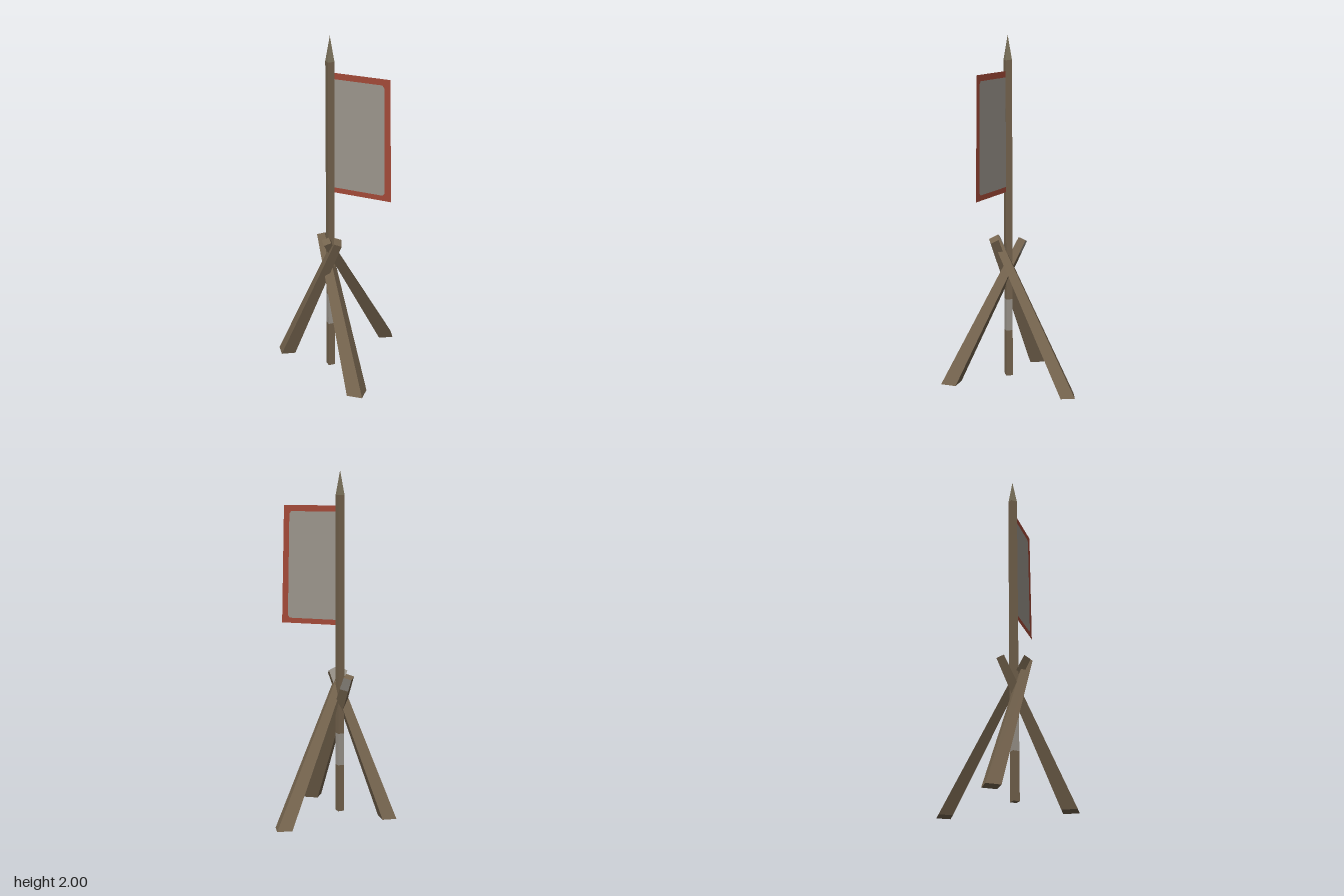
import * as THREE from 'three';

const flat = (name, color, side = THREE.FrontSide) => {
  const m = new THREE.MeshStandardMaterial({ color, side, flatShading: true });
  m.name = name;
  return m;
};

const POLE_X = -0.003, POLE_Z = 0.11;

// Tapered square beam: flat-cut foot on the ground, head cut across the axis.
// paleSide is the side whose last stretch below the head is bare grey.
function beamGeometry(foot, head, taper, tilt, paleSide) {
  const base = foot.map(([x, z]) => new THREE.Vector3(x, 0, z));
  const centre = base.reduce((s, p) => s.add(p), new THREE.Vector3()).multiplyScalar(0.25);
  const top = new THREE.Vector3(...head);
  const dir = top.clone().sub(centre).normalize();
  const end = base.map((p) => {
    const o = p.clone().sub(centre).multiplyScalar(taper);
    return o.addScaledVector(dir, -tilt * o.dot(dir)).add(top);
  });
  const mid = base.map((p, i) => p.clone().lerp(end[i], 0.91));
  const brown = [], grey = [];
  const quad = (list, a, b, c, d) => {
    for (const p of [a, b, c, a, c, d]) list.push(p.x, p.y, p.z);
  };
  for (let i = 0; i < 4; i++) {
    const j = (i + 1) % 4;
    quad(brown, base[i], mid[i], mid[j], base[j]);
    quad(i === paleSide ? grey : brown, mid[i], end[i], end[j], mid[j]);
  }
  quad(brown, end[0], end[3], end[2], end[1]);
  quad(brown, base[0], base[1], base[2], base[3]);
  const geo = new THREE.BufferGeometry();
  geo.setAttribute('position', new THREE.Float32BufferAttribute([...brown, ...grey], 3));
  geo.addGroup(0, brown.length / 3, 0);
  geo.addGroup(brown.length / 3, grey.length / 3, 1);
  geo.computeVertexNormals();
  return geo;
}

export function createModel() {
  const wood = flat('brown wood', 0x75644e);
  const tipMat = flat('pale wood', 0x7d735c);
  const pale = flat('grey', 0x9b958c);
  const cloth = flat('grey cloth', 0x9b958c, THREE.DoubleSide);
  const trim = flat('red trim', 0xa34a38, THREE.DoubleSide);

  const model = new THREE.Group();
  model.name = 'flagStand';
  const add = (name, geo, mat) => {
    const mesh = new THREE.Mesh(geo, mat);
    mesh.name = name;
    model.add(mesh);
    return mesh;
  };

  // Four-sided pole in stacked sections, with a pale band and a pointed tip
  const section = (name, y0, y1, rTop, mat, open) => {
    const geo = new THREE.CylinderGeometry(rTop, 0.027, y1 - y0, 4, 1, open);
    add(name, geo, mat).position.set(POLE_X, (y0 + y1) / 2, POLE_Z);
  };
  section('lowerPole', 0, 0.28, 0.027, wood, false);
  section('poleBand', 0.28, 0.47, 0.027, pale, true);
  section('upperPole', 0.47, 1.86, 0.027, wood, false);
  section('poleTip', 1.86, 2, 0, tipMat, true);

  // Three crossed legs; foot corners are [x, z], clockwise when seen from below
  const legs = [
    ['leftLeaningLeg', [[-0.3, 0.015], [-0.37, 0.06], [-0.32, 0.13], [-0.25, 0.085]], [0.068, 0.835, 0.168], 0.6, 1.5, 0],
    ['backLeg', [[0.185, -0.4], [0.11, -0.36], [0.15, -0.29], [0.225, -0.33]], [0.007, 0.835, 0.187], 0.58, 1.2, 0],
    ['frontLeg', [[0.305, 0.3], [0.215, 0.31], [0.225, 0.4], [0.315, 0.39]], [-0.078, 0.818, 0.053], 0.55, 1, 0],
  ];
  for (const [name, foot, head, taper, tilt, side] of legs) {
    // Corners run anticlockwise from above, so reverse each side's winding
    const geo = beamGeometry(foot, head, taper, tilt, side);
    const pos = geo.attributes.position;
    const a = new THREE.Vector3(), b = new THREE.Vector3(), c = new THREE.Vector3();
    a.fromBufferAttribute(pos, 0);
    b.fromBufferAttribute(pos, 1).sub(a);
    c.fromBufferAttribute(pos, 2).sub(a);
    const axis = new THREE.Vector3(foot.reduce((s, p) => s + p[0], 0) / 4, 0, foot.reduce((s, p) => s + p[1], 0) / 4);
    if (b.cross(c).dot(a.sub(axis)) < 0) {
      for (let i = 0; i < pos.count; i += 3) {
        const p = [pos.getX(i + 1), pos.getY(i + 1), pos.getZ(i + 1)];
        pos.setXYZ(i + 1, pos.getX(i + 2), pos.getY(i + 2), pos.getZ(i + 2));
        pos.setXYZ(i + 2, ...p);
      }
      geo.computeVertexNormals();
    }
    add(name, geo, [wood, pale]);
  }

  // Flag: grey panel inside a red trim, swinging slightly forward at its free edge
  const points = (list) => list.map(([x, y]) => new THREE.Vector2(x, y));
  const panel = points([[0.01, 1.14], [0.315, 1.14], [0.327, 1.155], [0.314, 1.75], [0.303, 1.765], [0.01, 1.765]]);
  const border = points([
    [0.01, 1.11], [0.365, 1.11], [0.348, 1.8], [0.01, 1.8], [0.01, 1.765], [0.303, 1.765],
    [0.314, 1.75], [0.327, 1.155], [0.315, 1.14], [0.01, 1.14],
  ]);
  for (const [name, outline, mat] of [['flagPanel', panel, cloth], ['flagTrim', border, trim]]) {
    const geo = new THREE.ShapeGeometry(new THREE.Shape(outline));
    const pos = geo.attributes.position;
    for (let i = 0; i < pos.count; i++) pos.setZ(i, POLE_Z + 0.028 * pos.getX(i));
    geo.computeVertexNormals();
    add(name, geo, mat);
  }
  return model;
}
